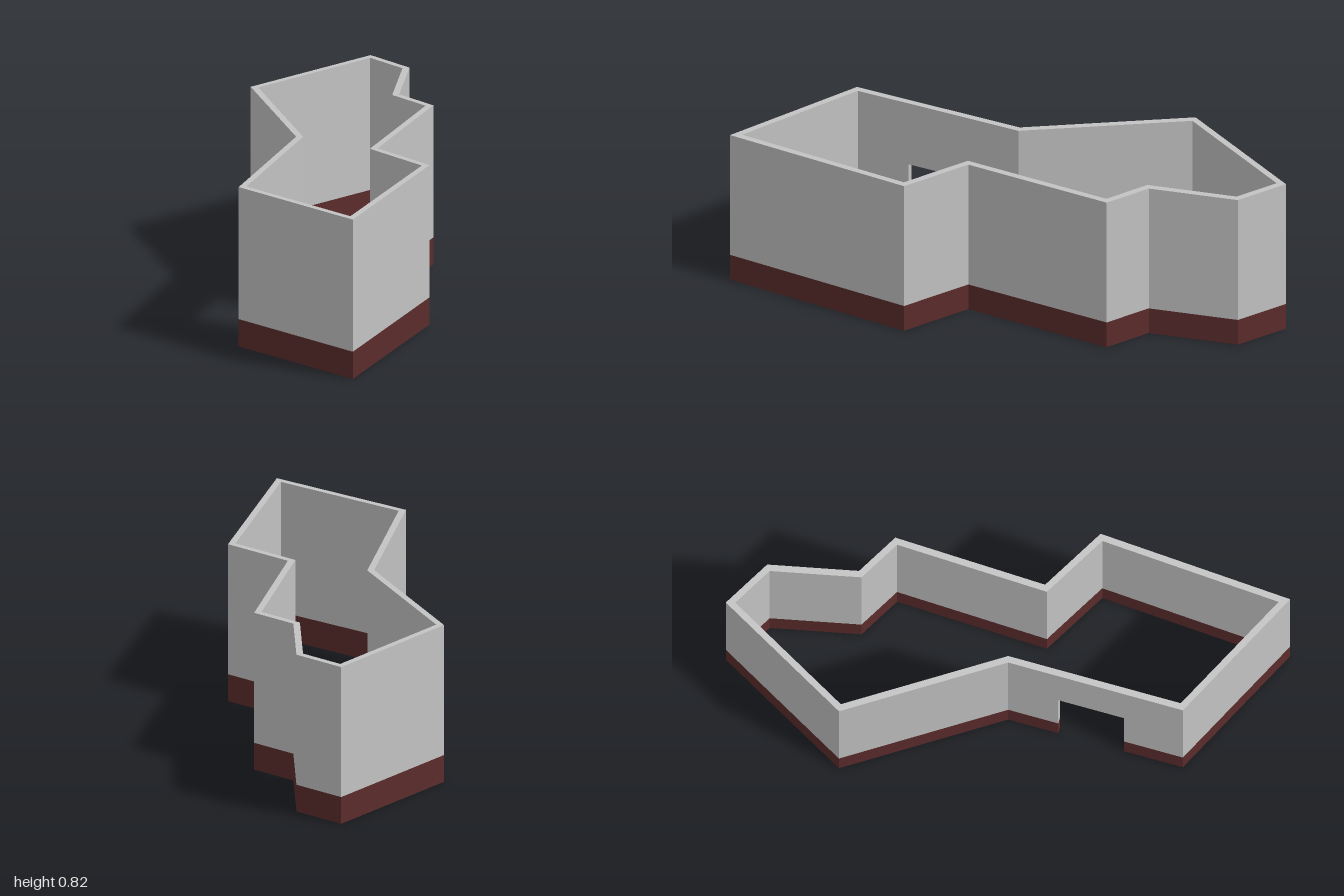
import * as THREE from 'three';

const HEIGHT = 0.82, BASE = 0.14, DOOR_TOP = 0.475, THICK = 0.033;

// Outer plan corners as (x, -z), running clockwise from the doorway wall's inner bend
const corners = [
  [-0.21, 0.225], [0.19, 1], [0.987, 1], [0.987, 0.715], [0.647, 0.415],
  [0.647, 0.165], [-0.045, -0.19], [-0.045, -0.572], [-0.943, -1], [-0.99, -0.215],
].map(([x, y]) => new THREE.Vector2(x, y));

// Unit normal pointing into the plan for the wall from a to b
function inward(a, b) {
  const d = b.clone().sub(a).normalize();
  return new THREE.Vector2(d.y, -d.x);
}

// Mitred inner corner between the two walls that meet at corner i
function innerCorner(i) {
  const n = corners.length;
  const p = corners[i];
  const n1 = inward(corners[(i + n - 1) % n], p);
  const n2 = inward(p, corners[(i + 1) % n]);
  return n1.clone().add(n2).multiplyScalar(THICK / (1 + n1.dot(n2))).add(p);
}

// Extrude a plan outline upward between two heights
function slab(points, y0, y1, material, name) {
  const geometry = new THREE.ExtrudeGeometry(new THREE.Shape(points), { depth: y1 - y0, bevelEnabled: false });
  geometry.rotateX(-Math.PI / 2);
  geometry.translate(0, y0, 0);
  const mesh = new THREE.Mesh(geometry, material);
  mesh.name = name;
  return mesh;
}

export function createModel() {
  const wallGrey = new THREE.MeshStandardMaterial({ color: 0xc3c3c3 });
  wallGrey.name = 'wallGrey';
  const plinthMaroon = new THREE.MeshStandardMaterial({ color: 0x5c2c2c });
  plinthMaroon.name = 'plinthMaroon';

  // Doorway jambs on the rear left wall
  const first = corners[0], last = corners[corners.length - 1];
  const outerA = first.clone().lerp(last, 0.286);
  const outerB = first.clone().lerp(last, 0.664);
  const offset = inward(last, first).multiplyScalar(THICK);
  const innerA = outerA.clone().add(offset);
  const innerB = outerB.clone().add(offset);

  // Wall ring, broken at the doorway
  const inner = corners.map((_, i) => innerCorner(i));
  const ring = [outerA, ...corners, outerB, innerB, ...inner.reverse(), innerA];

  const model = new THREE.Group();
  model.name = 'walledBuilding';
  model.add(
    slab(ring, 0, BASE, plinthMaroon, 'plinth'),
    slab(ring, BASE, HEIGHT, wallGrey, 'walls'),
    slab([outerA, outerB, innerB, innerA], DOOR_TOP, HEIGHT, wallGrey, 'doorLintel'),
  );
  return model;
}
